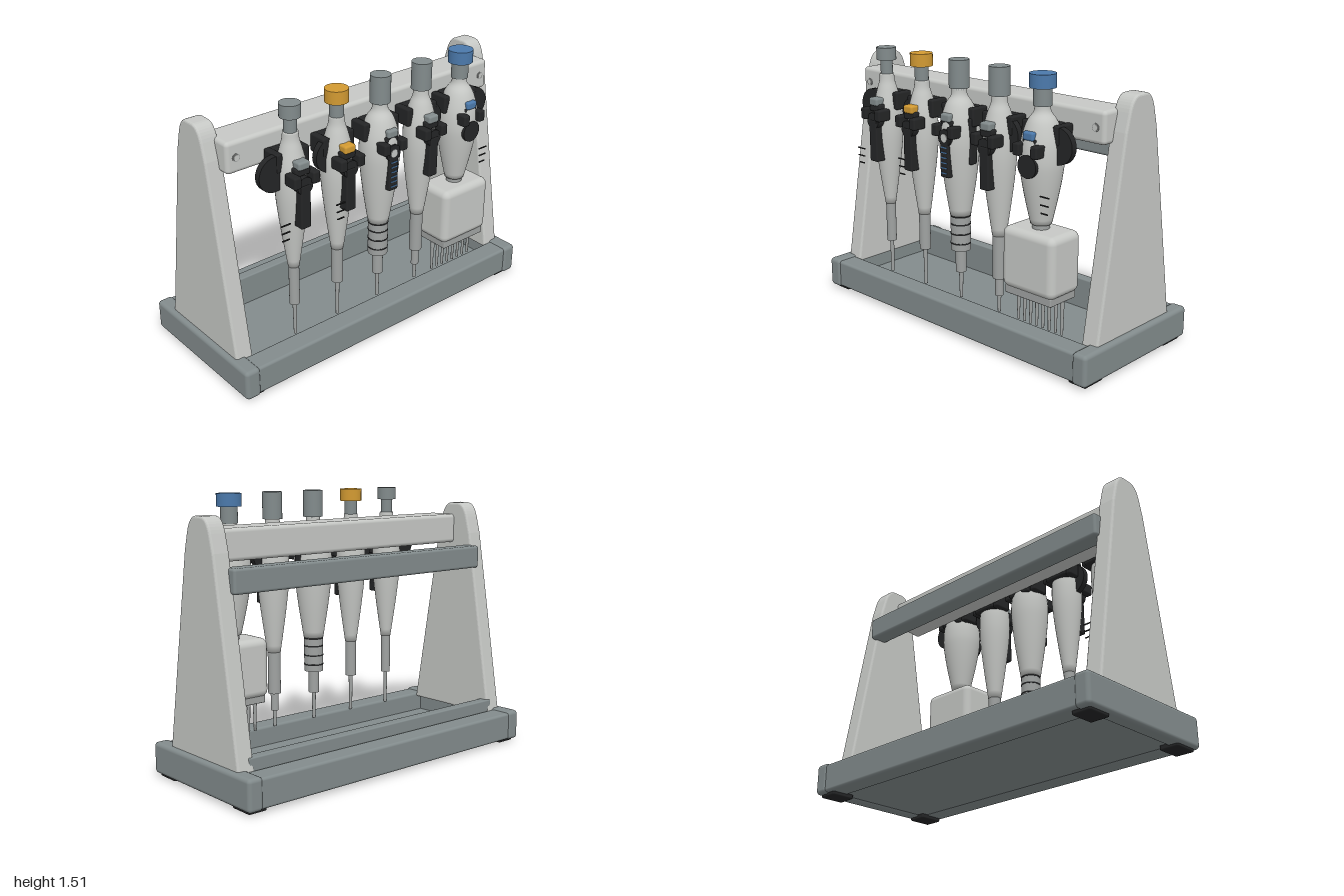
import * as THREE from 'three';
import { RoundedBoxGeometry } from 'three/addons/geometries/RoundedBoxGeometry.js';

const mat = (name, color) => new THREE.MeshStandardMaterial({ name, color });

export function createModel() {
  const M = {
    shell: mat('light grey shell', 0xc6c8c5),
    base: mat('slate grey', 0x828b8c),
    shaft: mat('mid grey shaft', 0x9fa2a1),
    black: mat('black rubber', 0x242526),
    blue: mat('blue accent', 0x4b79ab),
    amber: mat('amber accent', 0xd29a32),
  };
  const root = new THREE.Group();
  root.name = 'pipetteRack';

  const add = (parent, name, geometry, material) => {
    const mesh = new THREE.Mesh(geometry, material);
    mesh.name = name;
    parent.add(mesh);
    return mesh;
  };
  // Rounded box given by its limits on each axis
  const box = (parent, name, material, [x0, x1], [y0, y1], [z0, z1], r = 0.01) => {
    const s = [x1 - x0, y1 - y0, z1 - z0];
    const g = r > 0 ? new RoundedBoxGeometry(...s, 3, Math.min(r, Math.min(...s) * 0.45)) : new THREE.BoxGeometry(...s);
    const m = add(parent, name, g, material);
    m.position.set((x0 + x1) / 2, (y0 + y1) / 2, (z0 + z1) / 2);
    return m;
  };
  // Upright cylinder between two heights
  const rod = (parent, name, material, y0, y1, rBottom, rTop = rBottom, x = 0, sides = 28) => {
    const m = add(parent, name, new THREE.CylinderGeometry(rTop, rBottom, y1 - y0, sides), material);
    m.position.set(x, (y0 + y1) / 2, 0);
    return m;
  };
  // Disc facing the front
  const disc = (parent, name, material, x, y, z, r, depth) => {
    const m = add(parent, name, new THREE.CylinderGeometry(r, r, depth, 28), material);
    m.rotation.x = Math.PI / 2;
    m.position.set(x, y, z);
    return m;
  };

  // Base tray
  box(root, 'trayFloor', M.base, [-0.93, 0.93], [0.025, 0.07], [-0.4, 0.4], 0);
  box(root, 'frontRail', M.base, [-0.93, 0.93], [0.02, 0.18], [0.3, 0.425], 0.015);
  box(root, 'backRail', M.base, [-0.93, 0.93], [0.02, 0.18], [-0.43, -0.3], 0.015);
  box(root, 'backRidge', M.base, [-0.9, 0.9], [0.05, 0.245], [-0.3, -0.24], 0.008);

  // Side panel outline, drawn as (z, y)
  const half = [[0.295, 0.17], [0.115, 1.24], [0.09, 1.335]];
  const outline = new THREE.Shape();
  outline.moveTo(-half[0][0], half[0][1]);
  outline.lineTo(half[0][0], half[0][1]);
  outline.lineTo(half[1][0], half[1][1]);
  outline.lineTo(half[2][0], half[2][1]);
  outline.quadraticCurveTo(0.07, 1.405, 0.03, 1.408);
  outline.lineTo(-0.03, 1.408);
  outline.quadraticCurveTo(-0.07, 1.405, -half[2][0], half[2][1]);
  outline.lineTo(-half[1][0], half[1][1]);
  const panel = new THREE.ExtrudeGeometry(outline, {
    depth: 0.076, bevelEnabled: true, bevelThickness: 0.012, bevelSize: 0.012, bevelSegments: 3, curveSegments: 8,
  });
  panel.translate(0, 0, -0.038).rotateY(Math.PI / 2);

  for (const s of [-1, 1]) {
    const side = s > 0 ? 'left' : 'right';
    box(root, side + 'TrayEnd', M.base, s > 0 ? [0.91, 1] : [-1, -0.91], [0.015, 0.188], [-0.435, 0.435], 0.022);
    add(root, side + 'Panel', panel, M.shell).position.x = s * 0.92;
    disc(root, side + 'Screw', M.shaft, s * 0.84, 1.265, 0.2, 0.021, 0.008);
    disc(root, side + 'ScrewCentre', M.shell, s * 0.84, 1.265, 0.203, 0.016, 0.008);
    for (const f of [-1, 1]) {
      const foot = box(root, 'foot', M.black, [-0.055, 0.055], [0, 0.03], [-0.07, 0.07], 0.008);
      foot.position.x = s * 0.925;
      foot.position.z = f * 0.335;
    }
  }

  // Cross rails
  box(root, 'hangerRail', M.shell, [-0.895, 0.895], [1.18, 1.35], [0, 0.2], 0.022);
  box(root, 'rearRail', M.base, [-0.89, 0.89], [1.04, 1.17], [-0.19, -0.085], 0.015);

  // Pipettes: r = widest radius, end = [bottom height, bottom radius] of the handle
  const specs = [
    { x: -0.58, r: 0.085, end: [0.6, 0.03], cap: [M.base, 0.055, 1.44], stem: 0.034, button: M.base,
      shafts: [[0.37, 0.6, 0.028]], tip: [0.37, 0.012], disc: -0.11, marks: -0.12, trigger: 0.87 },
    { x: -0.29, r: 0.087, end: [0.6, 0.034], cap: [M.amber, 0.062, 1.44], stem: 0.038, button: M.amber,
      shafts: [[0.39, 0.6, 0.032]], tip: [0.39, 0.012], disc: -0.05, marks: -0.06, trigger: 0.87 },
    { x: 0, r: 0.11, end: [0.66, 0.057], cap: [M.base, 0.055, 1.36], stem: 0.04, button: M.base,
      shafts: [[0.46, 0.66, 0.055], [0.33, 0.46, 0.03]], tip: [0.33, 0.012], trigger: 0.89 },
    { x: 0.29, r: 0.092, end: [0.61, 0.038], cap: [M.base, 0.055, 1.36], stem: 0.04, button: M.base,
      shafts: [[0.37, 0.61, 0.036], [0.27, 0.37, 0.022]], tip: [0.27, 0.011], disc: 0.05, trigger: 0.88 },
    { x: 0.58, r: 0.114, end: [0.745, 0.055], cap: [M.blue, 0.068, 1.44], stem: 0.047, button: M.blue,
      shafts: [[0.7, 0.75, 0.045]], disc: 0.11, marks: 0.11 },
  ];

  specs.forEach((p, i) => {
    const g = new THREE.Group();
    g.name = 'pipette' + (i + 1);
    g.position.set(p.x, 0, 0.29);
    root.add(g);

    // Plunger
    rod(g, 'plungerCap', p.cap[0], p.cap[2], 1.51, p.cap[1]);
    rod(g, 'plungerStem', M.base, 1.35, 1.46, p.stem);

    // Handle, turned from a smooth profile
    const [y0, r0] = p.end;
    const mix = (t) => y0 + (1.08 - y0) * t;
    const curve = new THREE.SplineCurve([
      [r0, y0], [r0 + (p.r - r0) * 0.56, mix(0.45)], [p.r * 0.95, mix(0.8)], [p.r, 1.09],
      [p.r * 0.93, 1.18], [p.r * 0.68, 1.27], [0.044, 1.32], [0.04, 1.362],
    ].map(([r, y]) => new THREE.Vector2(r, y)));
    const profile = [new THREE.Vector2(0, y0), ...curve.getPoints(28), new THREE.Vector2(0, 1.362)];
    add(g, 'handle', new THREE.LatheGeometry(profile, 32), M.shell);

    // Lower shaft and tip
    p.shafts.forEach(([a, b, r]) => rod(g, 'shaft', M.shaft, a, b, r));
    if (p.tip) rod(g, 'tip', M.shaft, 0.175, p.tip[0], p.tip[1] * 0.75, p.tip[1], 0, 14);

    // Hanger bracket and side jaws
    const w = p.r;
    box(g, 'bracket', M.black, [-0.075, 0.075], [1.165, 1.26], [-0.1, -0.045]);
    for (const s of [-1, 1]) {
      const jaw = box(g, 'jaw', M.black, [-0.02, 0.02], [1.165, 1.265], [-0.09, 0.02]);
      jaw.position.x = s * (w * 0.78 + 0.015);
      const grip = box(g, 'gripBlock', M.black, [-0.022, 0.022], [1.11, 1.175], [0.05, 0.135]);
      grip.position.x = s * 0.058;
    }
    if (p.disc) disc(g, 'fingerRest', M.black, p.disc, 1.165, 0, 0.095, 0.034);

    // Front controls
    box(g, 'button', p.button, [-0.035, 0.035], [1.19, 1.235], [0.04, 0.112], 0.012);
    box(g, 'buttonSeat', M.black, [-0.045, 0.045], [1.155, 1.2], [0.03, 0.1]);
    disc(g, 'thumbRest', M.black, 0, p.trigger ? 1.105 : 1.06, 0.085, p.trigger ? 0.047 : 0.06, 0.06);
    if (p.trigger) box(g, 'trigger', M.black, [-0.031, 0.031], [p.trigger, 1.11], [0.04, 0.118], 0.008);

    // Loose graduation marks beside the handle
    if (p.marks) [0.925, 0.882, 0.84].forEach((y, k) => {
      const m = box(g, 'mark', M.black, [-0.03 + k * 0.004, 0.03 - k * 0.004], [y - 0.003, y + 0.003], [0.102, 0.108], 0);
      m.position.x = p.marks;
    });
  });

  // Centre pipette: ringed sleeve, scale lines, display dots and side lever
  const centre = root.getObjectByName('pipette3');
  [0.5, 0.555, 0.61, 0.655].forEach((y) => rod(centre, 'sleeveRing', M.black, y - 0.004, y + 0.004, 0.0565));
  for (let k = 0; k < 6; k++) {
    const y = 0.915 + k * 0.028;
    box(centre, 'scaleLine', M.blue, [-0.022, 0.022], [y - 0.003, y + 0.003], [0.116, 0.121], 0);
  }
  disc(centre, 'displayDot', M.shell, 0, 1.105, 0.115, 0.022, 0.008);
  box(centre, 'sideLever', M.black, [0.083, 0.113], [0.96, 1.21], [-0.02, 0.03]);

  // Multichannel head under the last pipette
  const multi = root.getObjectByName('pipette5');
  box(multi, 'channelHead', M.shell, [-0.173, 0.173], [0.39, 0.72], [-0.115, 0.115], 0.04);
  box(multi, 'channelPlate', M.shaft, [-0.155, 0.155], [0.355, 0.4], [-0.095, 0.1], 0.006);
  for (let k = 0; k < 8; k++) {
    const x = (k - 3.5) * 0.0425;
    rod(multi, 'channelNozzle', M.shaft, 0.32, 0.36, 0.012, 0.012, x, 12);
    rod(multi, 'channelTip', M.shaft, 0.175, 0.33, 0.007, 0.01, x, 12);
  }
  return root;
}
